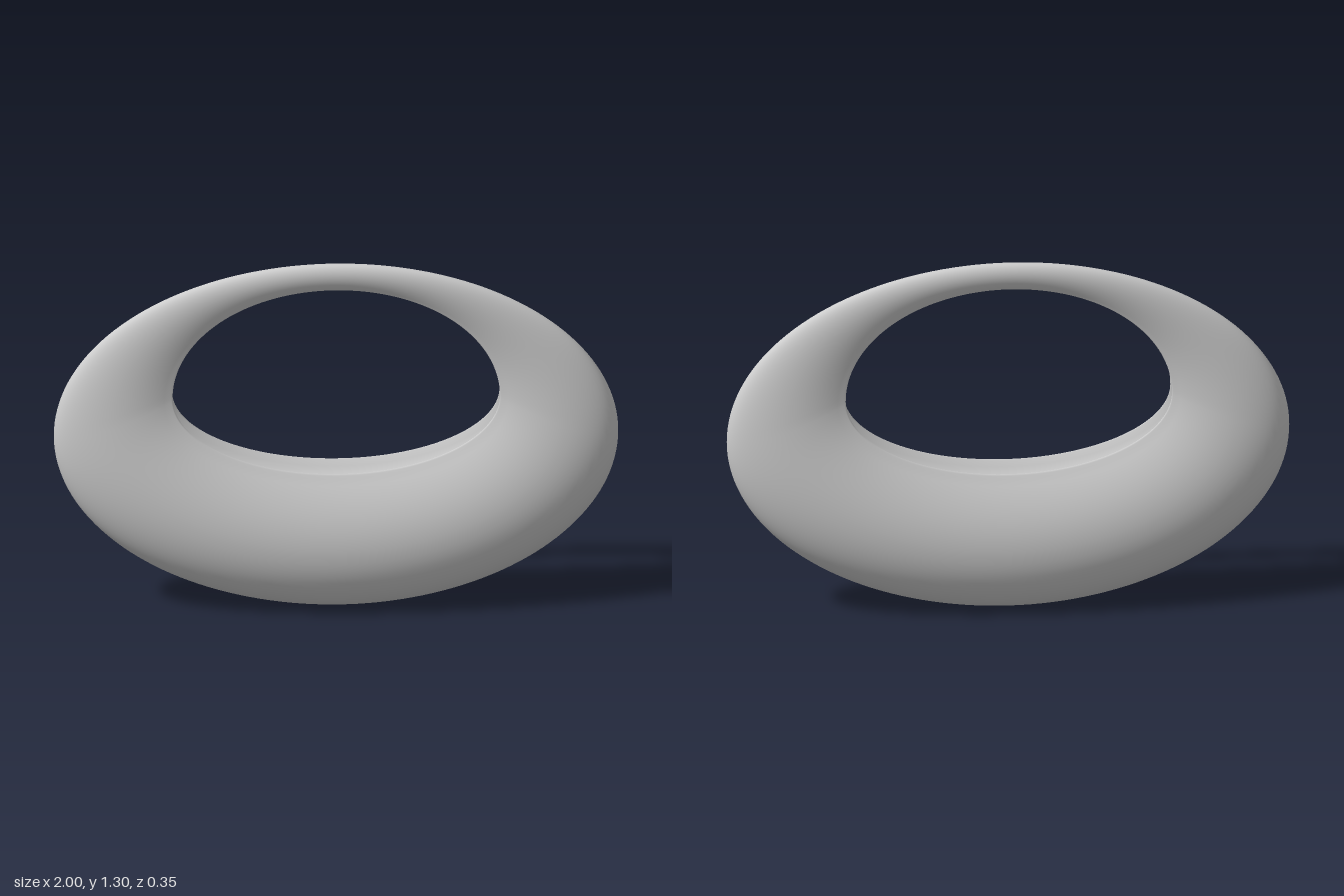
import * as THREE from 'three';

const RING = 160;

// Half of the cross-section: s runs from the outer edge (0) to the hole (1),
// w is the share of the local half thickness.
function halfSection() {
  const pts = [];
  for (let i = 0; i <= 14; i++) { // rounded outer edge
    const a = (i / 14) * Math.PI / 2;
    pts.push([0.46 * (1 - Math.cos(a)), Math.sin(a)]);
  }
  for (let i = 1; i <= 12; i++) { // taper towards the hole
    const t = i / 12;
    pts.push([0.46 + 0.51 * t, 1 - 0.53 * t * t]);
  }
  pts.push([0.99, 0.445], [1, 0.415], [0.993, 0.385]); // rolled lip
  for (let i = 1; i <= 8; i++) { // groove inside the hole
    const w = 0.36 * (1 - i / 8);
    pts.push([0.88 + 0.1 * (w / 0.36) ** 2, w]);
  }
  return pts;
}

// Full closed cross-section, mirrored front to back
function fullSection() {
  const half = halfSection();
  const back = half.slice(1, -1).reverse().map(([s, w]) => [s, -w]);
  return [...half, ...back];
}

function ringGeometry() {
  const section = fullSection();
  const n = section.length;
  const positions = [];
  const indices = [];
  for (let i = 0; i < RING; i++) {
    const a = (i / RING) * Math.PI * 2;
    const c = Math.cos(a), u = Math.sin(a);
    // outer ellipse, and a hole set high with a flatter lower half
    const ox = c, oy = 0.648 + 0.648 * u;
    const ix = 0.58 * c, iy = 0.8 + (u > 0 ? 0.4 : 0.28) * u;
    const thick = 0.03 + 0.145 * ((1 - u) / 2) ** 1.4;
    for (const [s, w] of section) {
      positions.push(ox + (ix - ox) * s, oy + (iy - oy) * s, thick * w);
    }
    const next = ((i + 1) % RING) * n;
    for (let j = 0; j < n; j++) {
      const k = (j + 1) % n;
      const p = i * n + j, q = next + j, r = next + k, t = i * n + k;
      indices.push(p, q, r, p, r, t);
    }
  }
  const geometry = new THREE.BufferGeometry();
  geometry.setAttribute('position', new THREE.Float32BufferAttribute(positions, 3));
  geometry.setIndex(indices);
  geometry.computeVertexNormals();
  return geometry;
}

export function createModel() {
  const group = new THREE.Group();
  group.name = 'ringVase';
  const body = new THREE.Mesh(ringGeometry(), new THREE.MeshStandardMaterial({ color: 0xcccccc }));
  body.name = 'ringBody';
  group.add(body);
  return group;
}
